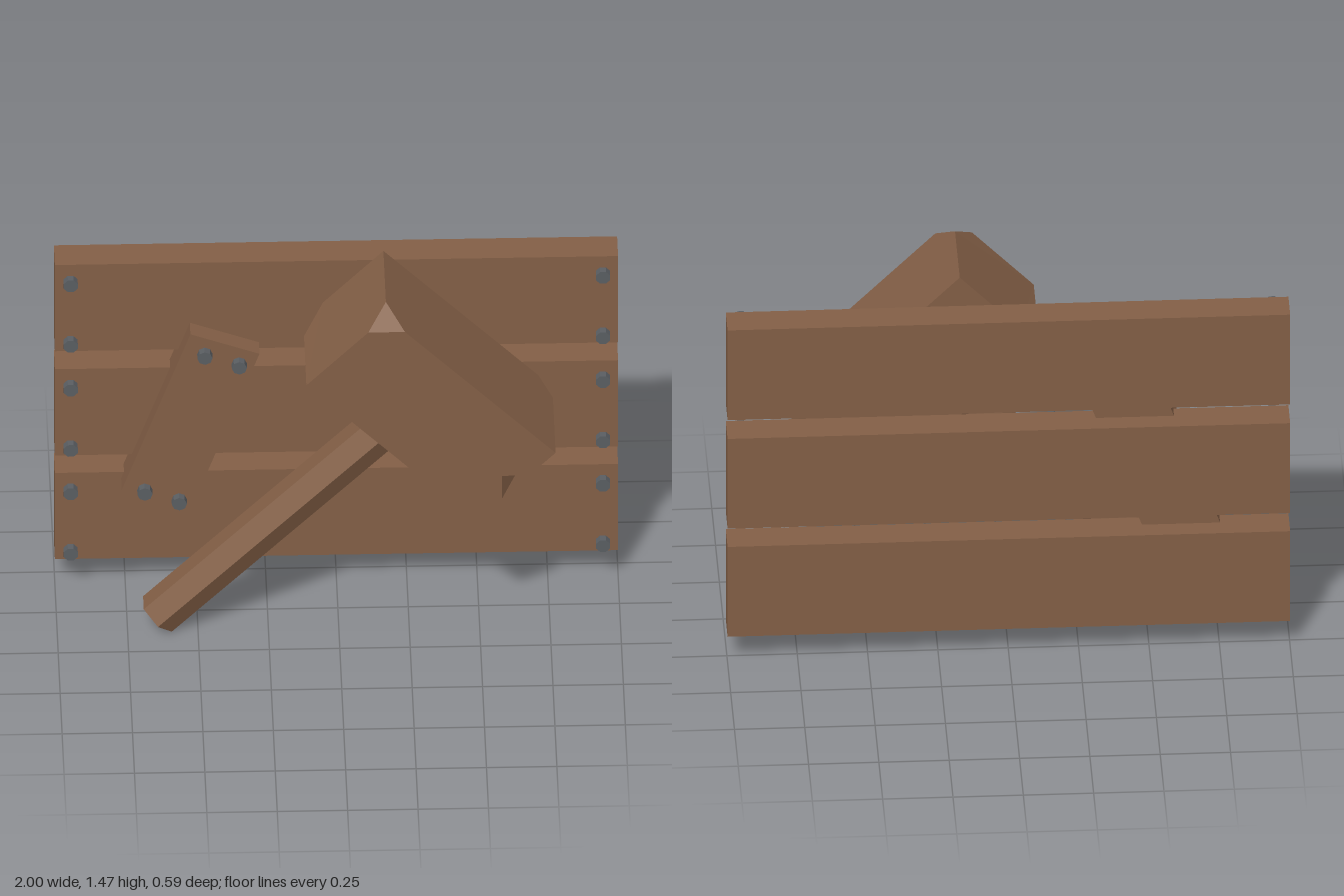
import * as THREE from 'three';

const wood = new THREE.MeshStandardMaterial({ color: 0x835f46, flatShading: true });
wood.name = 'brown wood';
const iron = new THREE.MeshStandardMaterial({ color: 0x5a5e62, flatShading: true });
iron.name = 'grey iron';

function add(parent, name, geometry, material, x = 0, y = 0, z = 0) {
  const mesh = new THREE.Mesh(geometry, material);
  mesh.name = name;
  mesh.position.set(x, y, z);
  parent.add(mesh);
  return mesh;
}

// Half-driven nail sticking out of a surface at depth z
const shankGeometry = new THREE.CylinderGeometry(0.007, 0.007, 0.05, 6).rotateX(Math.PI / 2);
const capGeometry = new THREE.CylinderGeometry(0.027, 0.027, 0.03, 8).rotateY(Math.PI / 8).rotateX(Math.PI / 2);
function addNail(parent, x, y, z) {
  const nail = new THREE.Group();
  nail.name = 'nail';
  nail.position.set(x, y, z);
  add(nail, 'nailShank', shankGeometry, iron, 0, 0, 0.01);
  add(nail, 'nailCap', capGeometry, iron, 0, 0, 0.04);
  parent.add(nail);
}

// Solid made of flat polygons, each listed counterclockwise from outside
function polyhedron(points, faces) {
  const positions = [];
  for (const face of faces) {
    const corners = face.split(' ').map((key) => new THREE.Vector3(...points[key]));
    const normal = new THREE.Vector3();
    corners.forEach((c, i) => normal.add(c.clone().cross(corners[(i + 1) % corners.length])));
    normal.normalize();
    const u = corners[1].clone().sub(corners[0]).normalize();
    const v = normal.clone().cross(u);
    const flat = corners.map((c) => new THREE.Vector2(c.dot(u), c.dot(v)));
    for (const triangle of THREE.ShapeUtils.triangulateShape(flat, [])) {
      for (const i of triangle) positions.push(...corners[i].toArray());
    }
  }
  const geometry = new THREE.BufferGeometry();
  geometry.setAttribute('position', new THREE.Float32BufferAttribute(positions, 3));
  geometry.computeVertexNormals();
  return geometry;
}

// Mallet block with three chipped corners and a notch in its striking edge
function malletHeadGeometry() {
  const f = 0.295, b = -0.115;
  const points = {
    // front outline
    topL: [0.1, 1.4, f], topR: [0.23, 1.4, f], left: [-0.12, 1.175, f],
    low: [0.48, 0.575, f], right: [0.765, 0.865, f],
    // notch
    nA: [0.575, 0.671, f], nB: [0.67, 0.769, f], nC: [0.575, 0.769, f], nD: [0.6225, 0.72, 0.225],
    // chip tips
    topTip: [0.165, 1.465, 0.2], leftTip: [-0.12, 1.175, -0.01], rightTip: [0.765, 0.865, -0.045],
    // back outline
    topB: [0.165, 1.465, b], lowB: [0.48, 0.575, b],
    l1: [-0.05, 1.245, b], l2: [-0.05, 1.105, b],
    r1: [0.715, 0.815, b], r2: [0.715, 0.915, b],
  };
  return polyhedron(points, [
    'topL left low nA nC nB right topR',
    'r2 r1 lowB l2 l1 topB',
    'left topL topTip topB l1 leftTip',
    'low left leftTip l2 lowB',
    'right nB nD nA low lowB r1 rightTip',
    'topR right rightTip r2 topB topTip',
    'topL topR topTip',
    'leftTip l1 l2',
    'rightTip r1 r2',
    'nC nA nD',
    'nC nD nB',
  ]);
}

export function createModel() {
  const model = new THREE.Group();
  model.name = 'plankSignWithMallet';

  // Three horizontal planks, each with four nails
  const plankGeometry = new THREE.BoxGeometry(2, 0.374, 0.122);
  for (const y of [0.295, 0.745, 1.197]) {
    add(model, 'plank', plankGeometry, wood, 0, y, -0.236);
    for (const x of [-0.945, 0.945]) {
      for (const dy of [-0.13, 0.132]) addNail(model, x, y + dy, -0.175);
    }
  }

  // Slanted brace
  const brace = new THREE.Group();
  brace.name = 'brace';
  brace.position.set(-0.52, 0.745, -0.164);
  brace.rotation.z = -THREE.MathUtils.degToRad(20);
  add(brace, 'braceBoard', new THREE.BoxGeometry(0.261, 0.713, 0.122), wood);
  for (const x of [-0.06, 0.07]) {
    for (const y of [-0.313, 0.31]) addNail(brace, x, y, 0.061);
  }
  model.add(brace);

  // Mallet with a six-sided handle
  const mallet = new THREE.Group();
  mallet.name = 'mallet';
  add(mallet, 'malletHead', malletHeadGeometry(), wood);
  const handle = add(mallet, 'malletHandle', new THREE.CylinderGeometry(0.081, 0.081, 1.24, 6), wood, -0.205, 0.488, 0.09);
  handle.rotation.z = -Math.PI / 4;
  model.add(mallet);

  return model;
}
